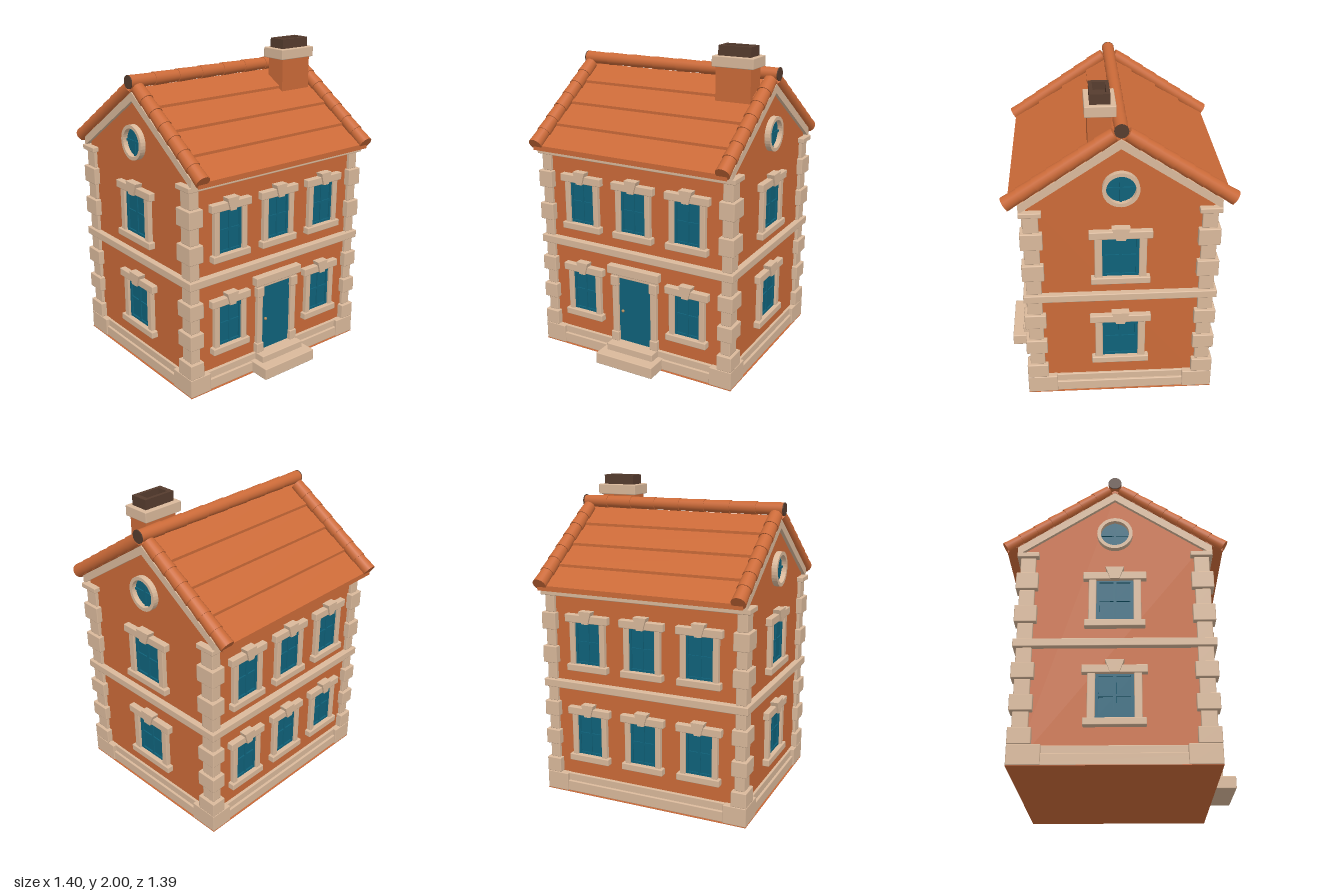
import * as THREE from 'three';
import { RoundedBoxGeometry } from 'three/addons/geometries/RoundedBoxGeometry.js';

const mat = (name, color) => Object.assign(new THREE.MeshStandardMaterial({ color }), { name });

export function createModel() {
  const model = new THREE.Group();
  model.name = 'house';
  const house = new THREE.Group();
  house.name = 'building';
  house.position.z = -0.0125;
  model.add(house);

  const clay = mat('terracotta', 0xcb6a38);
  const stone = mat('stone', 0xdab99b);
  const teal = mat('teal paint', 0x0f627a);
  const soot = mat('dark brown', 0x563c2e);
  const brass = mat('brass', 0xb08a5a);

  const add = (parent, name, geometry, material) => {
    const mesh = new THREE.Mesh(geometry, material);
    mesh.name = name;
    parent.add(mesh);
    return mesh;
  };
  // box given by its limits; stone blocks get softened edges
  const block = (parent, name, material, x0, x1, y0, y1, z0, z1) => {
    const s = [x1 - x0, y1 - y0, z1 - z0];
    const g = material === stone
      ? new RoundedBoxGeometry(...s, 1, Math.min(0.005, Math.min(...s) / 4))
      : new THREE.BoxGeometry(...s);
    return add(parent, name, g.translate((x0 + x1) / 2, (y0 + y1) / 2, (z0 + z1) / 2), material);
  };
  const shapeOf = (pts) => new THREE.Shape(pts.map(([a, b]) => new THREE.Vector2(a, b)));
  // (z, y) outline extruded along x
  const profile = (name, material, pts, x0, x1) => {
    const g = new THREE.ExtrudeGeometry(shapeOf(pts), { depth: x1 - x0, bevelEnabled: false });
    return add(house, name, g.rotateY(-Math.PI / 2).translate(x1, 0, 0), material);
  };
  const mirrored = (half) => [...half, ...half.slice().reverse().filter((p) => p[0] !== 0).map(([z, y]) => [-z, y])];

  // walls with gables
  const WX = 0.65, WZ = 0.545, SLOPE = 0.67;
  profile('walls', clay, [[-WZ, 0.003], [WZ, 0.003], [WZ, 1.4], [0, 1.765], [-WZ, 1.4]], -WX, WX);
  block(house, 'floor', clay, -0.688, 0.688, 0, 0.003, -0.587, 0.587);

  // plinth: two courses and four corner blocks
  block(house, 'plinthLower', stone, -0.68, 0.68, 0.003, 0.072, -0.578, 0.578);
  block(house, 'plinthUpper', stone, -0.665, 0.665, 0.06, 0.12, -0.563, 0.563);
  for (const sx of [-1, 1]) for (const sz of [-1, 1]) {
    const corner = (name, xa, xb, za, zb, y0, y1) => block(house, name, stone,
      Math.min(sx * xa, sx * xb), Math.max(sx * xa, sx * xb), y0, y1,
      Math.min(sz * za, sz * zb), Math.max(sz * za, sz * zb));
    corner('plinthCorner', 0.54, 0.688, 0.4, 0.587, 0.003, 0.122);
    // alternating narrow and wide quoins on each storey
    for (const [top, bottom, rows] of [[0.705, 0.122, 6], [1.3, 0.755, 5]]) {
      const h = (top - bottom) / rows;
      for (let i = 0; i < rows; i++) {
        const y1 = top - i * h;
        if (i % 2) corner('wideQuoin', 0.59, 0.688, 0.455, 0.587, y1 - h, y1);
        else corner('narrowQuoin', 0.605, 0.67, 0.475, 0.567, y1 - h, y1);
      }
    }
  }

  // string course and eaves cornice
  block(house, 'stringCourse', stone, -0.688, 0.688, 0.705, 0.755, -0.587, 0.587);
  for (const s of [-1, 1]) {
    block(house, 'cornice', stone, -0.69, 0.69, 1.3, 1.332, s > 0 ? 0.455 : -0.588, s > 0 ? 0.588 : -0.455);
  }

  // gable trim boards
  const trim = [[-0.588, 1.376], [-0.588, 1.321], [0, 1.715], [0.588, 1.321], [0.588, 1.376], [0, 1.77]];
  profile('gableTrimLeft', stone, trim, 0.6, 0.672);
  profile('gableTrimRight', stone, trim, -0.672, -0.6);

  // stepped roof courses as one saw-tooth section
  const steps = [0, 0.155, 0.32, 0.485, 0.65];
  const half = [[0.65, 1.775 - SLOPE * 0.65]];
  for (let i = 4; i > 0; i--) {
    half.push([steps[i], 1.807 - SLOPE * steps[i]], [steps[i - 1], 1.79 - SLOPE * steps[i - 1]]);
  }
  const top = mirrored(half);
  profile('roofTiles', clay, [[0, 1.775], ...top], -0.668, 0.668);

  // overlapping round tiles from point a to point b
  const tileRun = (name, a, b, count, rStart, rEnd) => {
    const dir = b.clone().sub(a), len = dir.length() / count;
    dir.normalize();
    const turn = new THREE.Quaternion().setFromUnitVectors(new THREE.Vector3(0, 1, 0), dir);
    for (let i = 0; i < count; i++) {
      const tile = add(house, name, new THREE.CylinderGeometry(rEnd, rStart, len, 20), clay);
      tile.quaternion.copy(turn);
      tile.position.copy(a).addScaledVector(dir, (i + 0.5) * len);
    }
  };
  for (const sx of [-1, 1]) {
    for (const sz of [-1, 1]) {
      tileRun('vergeTile', new THREE.Vector3(sx * 0.645, 1.795, sz * 0.035),
        new THREE.Vector3(sx * 0.645, 1.377, sz * 0.66), 7, 0.04, 0.045);
    }
    const cap = add(house, 'ridgeEnd', new THREE.CylinderGeometry(0.041, 0.041, 0.006, 20), soot);
    cap.rotation.z = Math.PI / 2;
    cap.position.set(sx * 0.688, 1.83, 0);
  }
  tileRun('ridgeTile', new THREE.Vector3(0.687, 1.83, 0), new THREE.Vector3(-0.687, 1.83, 0), 8, 0.037, 0.041);

  // chimney
  block(house, 'chimneyShaft', clay, 0.355, 0.585, 1.6, 1.88, 0.05, 0.183);
  block(house, 'chimneyCap', stone, 0.335, 0.605, 1.875, 1.94, 0.022, 0.2);
  const rect = (w, h) => [[-w, -h], [w, -h], [w, h], [-w, h]];
  const pot = shapeOf(rect(0.106, 0.058));
  pot.holes.push(new THREE.Path(rect(0.075, 0.037).reverse().map(([x, y]) => new THREE.Vector2(x, y))));
  const potGeo = new THREE.ExtrudeGeometry(pot, { depth: 0.06, bevelEnabled: false });
  add(house, 'chimneyPot', potGeo.rotateX(-Math.PI / 2).translate(0.47, 1.94, 0.112), soot);
  block(house, 'flue', soot, 0.39, 0.55, 1.938, 1.955, 0.07, 0.154);

  // window facing +z, standing on its wall plane; s stretches the width
  const makeWindow = (s) => {
    const w = new THREE.Group();
    w.name = 'window';
    const b = (name, m, x0, x1, y0, y1, z) => block(w, name, m, x0 * s, x1 * s, y0, y1, -0.01, z);
    b('glass', teal, -0.09, 0.09, 0.04, 0.32, 0.004);
    for (const x of [-1, 1]) {
      b('jamb', stone, x > 0 ? 0.086 : -0.122, x > 0 ? 0.122 : -0.086, 0.04, 0.315, 0.03);
      b('sashStile', teal, x > 0 ? 0.072 : -0.086, x > 0 ? 0.086 : -0.072, 0.04, 0.315, 0.014);
    }
    for (const y of [0.045, 0.3]) b('sashRail', teal, -0.086, 0.086, y, y + 0.014, 0.014);
    b('mullion', teal, -0.007, 0.007, 0.04, 0.315, 0.012);
    b('crossbar', teal, -0.086, 0.086, 0.175, 0.19, 0.012);
    b('sill', stone, -0.14, 0.14, 0, 0.044, 0.043);
    b('lintel', stone, -0.148, 0.148, 0.312, 0.362, 0.038);
    const key = shapeOf([[-0.021 * s, 0.31], [0.021 * s, 0.31], [0.043 * s, 0.388], [-0.043 * s, 0.388]]);
    add(w, 'keystone', new THREE.ExtrudeGeometry(key, { depth: 0.05, bevelEnabled: false }), stone);
    return w;
  };
  const place = (obj, x, y, z, turn) => {
    obj.position.set(x, y, z);
    obj.rotation.y = turn;
    house.add(obj);
  };
  for (const y of [0.227, 0.83]) {
    for (const x of [-0.375, 0, 0.375]) {
      if (x !== 0 || y > 0.5) place(makeWindow(1), x, y, WZ, 0);
      place(makeWindow(1), x, y, -WZ, Math.PI);
    }
    for (const s of [-1, 1]) place(makeWindow(1.27), s * WX, y, 0, s * Math.PI / 2);
  }

  // round gable windows
  for (const s of [-1, 1]) {
    const w = new THREE.Group();
    w.name = 'roundWindow';
    const ring = new THREE.Shape().absarc(0, 0, 0.108, 0, Math.PI * 2);
    ring.holes.push(new THREE.Path().absarc(0, 0, 0.086, 0, Math.PI * 2, true));
    add(w, 'surround', new THREE.ExtrudeGeometry(ring, { depth: 0.035, bevelEnabled: false, curveSegments: 16 }), stone);
    add(w, 'glass', new THREE.CircleGeometry(0.09, 32).translate(0, 0, 0.004), teal);
    block(w, 'mullion', teal, -0.007, 0.007, -0.086, 0.086, 0, 0.012);
    block(w, 'crossbar', teal, -0.086, 0.086, -0.007, 0.007, 0, 0.012);
    place(w, s * WX, 1.465, 0, s * Math.PI / 2);
  }

  // entrance
  block(house, 'door', teal, -0.118, 0.118, 0.12, 0.565, 0.5, WZ + 0.008);
  for (const s of [-1, 1]) {
    const post = (name, a, b, y0, y1, z) => block(house, name, stone,
      s > 0 ? a : -b, s > 0 ? b : -a, y0, y1, 0.5, z);
    post('doorPost', 0.118, 0.16, 0.12, 0.57, 0.572);
    post('postBase', 0.114, 0.168, 0.12, 0.185, 0.58);
    post('postCapital', 0.114, 0.168, 0.505, 0.572, 0.58);
  }
  block(house, 'doorFrieze', stone, -0.165, 0.165, 0.562, 0.592, 0.5, 0.57);
  block(house, 'doorLintel', stone, -0.185, 0.185, 0.588, 0.645, 0.5, 0.59);
  add(house, 'doorKnob', new THREE.SphereGeometry(0.01, 12, 8).translate(-0.087, 0.335, WZ + 0.018), brass);
  block(house, 'lowerStep', stone, -0.205, 0.205, 0.002, 0.077, 0.5, 0.7085);
  block(house, 'upperStep', stone, -0.168, 0.168, 0.07, 0.122, 0.5, 0.637);

  return model;
}
